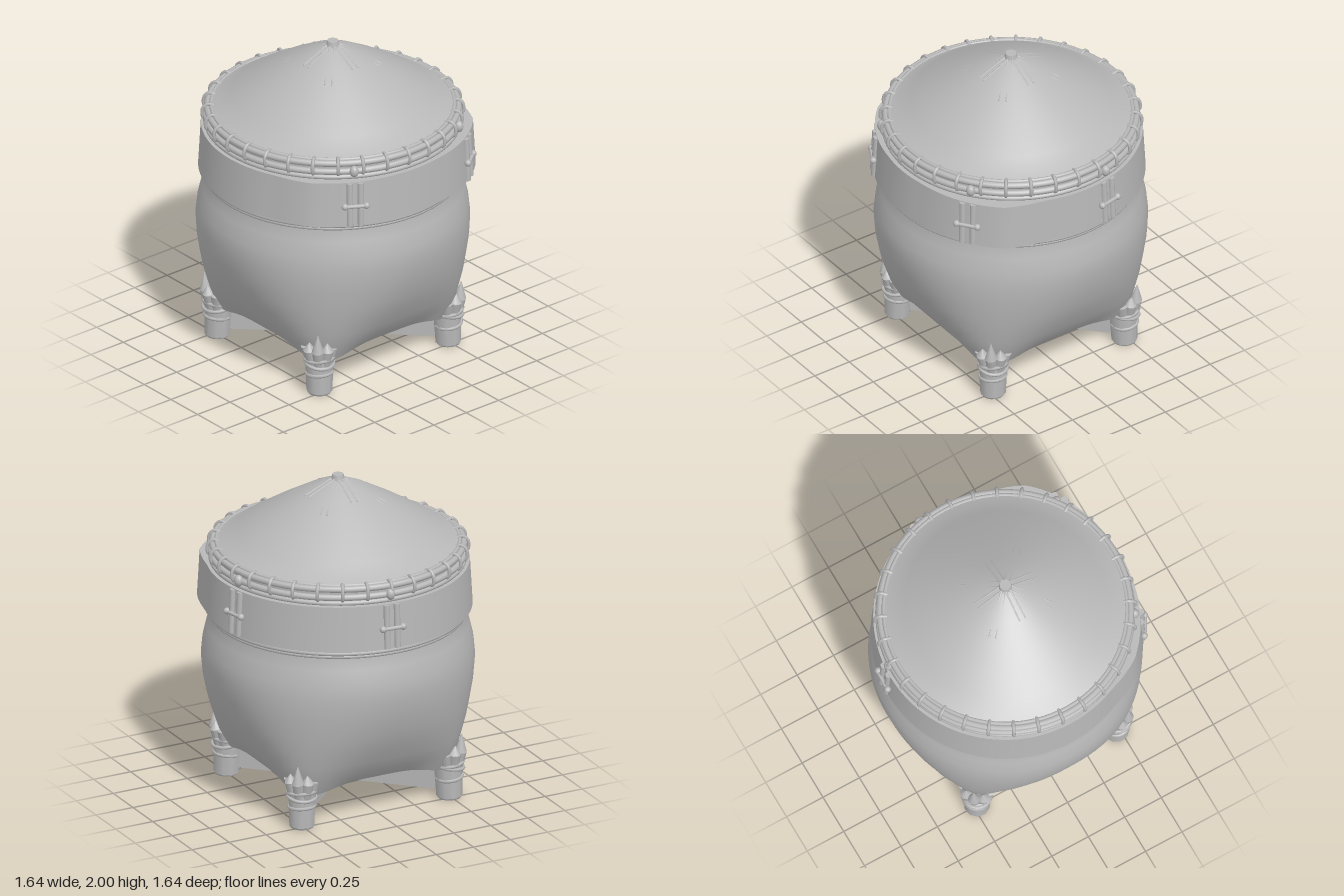
import * as THREE from 'three';
import { toCreasedNormals } from 'three/addons/utils/BufferGeometryUtils.js';

const grey = new THREE.MeshStandardMaterial({ color: 0xb8b8b8 });
grey.name = 'plain grey';

function add(parent, name, geometry, x = 0, y = 0, z = 0) {
  const mesh = new THREE.Mesh(geometry, grey);
  mesh.name = name;
  mesh.position.set(x, y, z);
  parent.add(mesh);
  return mesh;
}

// Closed rings swept around y; point(row, angle) gives [radius, height]
function loft(rows, point, sides = 96) {
  const pos = [], index = [];
  for (let i = 0; i < rows; i++) {
    for (let j = 0; j < sides; j++) {
      const t = (j / sides) * Math.PI * 2;
      const [r, y] = point(i, t);
      pos.push(r * Math.cos(t), y, r * Math.sin(t));
      if (i === rows - 1) continue;
      const k = (j + 1) % sides, a = i * sides;
      const b = a + sides;
      index.push(a + j, b + j, a + k, b + j, b + k, a + k);
    }
  }
  const g = new THREE.BufferGeometry();
  g.setAttribute('position', new THREE.Float32BufferAttribute(pos, 3));
  g.setIndex(index);
  g.computeVertexNormals();
  return g;
}

// Rod between two points
function rod(parent, name, from, to, r0, r1 = r0) {
  const a = new THREE.Vector3(...from), b = new THREE.Vector3(...to);
  const mesh = add(parent, name, new THREE.CylinderGeometry(r1, r0, a.distanceTo(b), 10));
  mesh.position.copy(a).lerp(b, 0.5);
  mesh.quaternion.setFromUnitVectors(new THREE.Vector3(0, 1, 0), b.sub(a).normalize());
  return mesh;
}

function hoop(parent, name, radius, tube, y) {
  add(parent, name, new THREE.TorusGeometry(radius, tube, 8, 96), 0, y, 0).rotation.x = Math.PI / 2;
}

// Group turned so that its local +x points outward at an angle measured from x toward z
function spoke(parent, name, angle) {
  const g = new THREE.Group();
  g.name = name;
  g.rotation.y = -angle;
  parent.add(g);
  return g;
}

const superRadius = (a, n, t) =>
  a / Math.pow(Math.abs(Math.cos(t)) ** n + Math.abs(Math.sin(t)) ** n, 1 / n);
const cornerDrop = (t) => Math.abs(Math.sin(2 * t)) ** 6;

export function createModel() {
  const model = new THREE.Group();
  model.name = 'lidded basket';

  // Body: rounded square at the bottom, circle at the top [height, half width, squareness]
  const body = [
    [0.25, 0.535, 6], [0.32, 0.6, 4.5], [0.4, 0.65, 3.5], [0.5, 0.705, 2.8], [0.6, 0.75, 2.4],
    [0.72, 0.787, 2.2], [0.85, 0.812, 2.05], [0.95, 0.808, 2], [1.05, 0.785, 2], [1.15, 0.755, 2], [1.5, 0.745, 2],
  ];
  const bodyPoint = (i, t) => {
    const [y, a, n] = body[i];
    const drop = i === 0 ? 0.06 : i === 1 ? 0.02 : 0;
    return [superRadius(a, n, t), y - drop * cornerDrop(t)];
  };
  add(model, 'body', loft(body.length, bodyPoint));
  add(model, 'underside', loft(3, (i, t) => {
    const [r, y] = bodyPoint(0, t);
    return [[0, 0.8 * r, r][i], i === 2 ? y : 0.26];
  }));

  // Strap around the shoulder, standing away from the body near two of the clasps
  const bulge = [[-70, 0], [-52, 0.05], [-37, 0.035], [-12, 0.004], [12, 0.004], [30, 0.02], [49, 0.032], [66, 0]];
  const strapOffset = (t) => {
    const d = ((t * 180 / Math.PI + 180) % 360) - 180;
    for (let i = 0; i < bulge.length - 1; i++) {
      const [d0, v0] = bulge[i], [d1, v1] = bulge[i + 1];
      if (d >= d0 && d <= d1) return v0 + (v1 - v0) * (d - d0) / (d1 - d0);
    }
    return 0;
  };
  const strap = [[0.74, 1.175], [0.803, 1.175], [0.787, 1.46], [0.74, 1.46]];
  add(model, 'strap', toCreasedNormals(
    loft(4, (i, t) => [strap[i][0] + (i === 1 || i === 2 ? strapOffset(t) : 0), strap[i][1]]), 0.6));
  hoop(model, 'lowerHoop', 0.767, 0.016, 1.155);
  hoop(model, 'lowerHoop', 0.76, 0.014, 1.133);
  hoop(model, 'upperHoop', 0.758, 0.015, 1.476);

  // Lid
  const lid = [[0.74, 1.5], [0.75, 1.5], [0.75, 1.57], [0.725, 1.575], [0.6, 1.66], [0.4, 1.785], [0.2, 1.9], [0.06, 1.965], [0, 1.98]];
  add(model, 'lid', toCreasedNormals(loft(lid.length, (i) => lid[i]), 0.5));
  hoop(model, 'lidHoop', 0.755, 0.02, 1.51);
  hoop(model, 'lidHoop', 0.748, 0.02, 1.56);
  hoop(model, 'lidHoop', 0.725, 0.012, 1.575);
  add(model, 'lidKnob', new THREE.CylinderGeometry(0.034, 0.04, 0.03, 16), 0, 1.985, 0);

  // Lashings around the lid rim
  for (let i = 0; i < 32; i++) {
    const s = spoke(model, 'rimLashing', (i + 0.3) * Math.PI / 16);
    const path = new THREE.CatmullRomCurve3([[0.71, 1.578], [0.745, 1.587], [0.775, 1.562], [0.778, 1.51], [0.755, 1.488]]
      .map(([x, y]) => new THREE.Vector3(x, y, 0)));
    add(s, 'lashing', new THREE.TubeGeometry(path, 10, 0.011, 6));
  }

  // Pleats radiating from the lid's tip, in pairs on the axes and singly on the diagonals
  for (let i = 0; i < 8; i++) {
    const s = spoke(model, 'lidPleat', i * Math.PI / 4);
    const end = i % 2 ? 0.29 : 0.21;
    const slopeY = (r) => r < 0.2 ? 1.965 - (r - 0.06) * 0.464 : 1.9 - (r - 0.2) * 0.575;
    for (const z of [-0.02, 0.02]) rod(s, 'pleat', [0.03, 1.973, z * 0.7], [end, slopeY(end), z], 0.007, 0.004).scale.y = -1 * -1;
  }

  // Clasps: two upright bars, a toggle pin and a knot on the lid rim
  for (const deg of [30, -37, -102, 184]) {
    const t = deg * Math.PI / 180;
    const s = spoke(model, 'clasp', t);
    const r = 0.797 + strapOffset((t + Math.PI * 2) % (Math.PI * 2));
    for (const z of [-0.033, 0.033]) rod(s, 'claspBar', [r + 0.003, 1.18, z], [r - 0.01, 1.455, z], 0.02);
    rod(s, 'togglePin', [r + 0.015, 1.31, -0.06], [r + 0.015, 1.31, 0.06], 0.012);
    for (const z of [-0.065, 0.065]) add(s, 'toggleEnd', new THREE.SphereGeometry(0.021, 12, 8), r + 0.012, 1.31, z);
    add(s, 'rimKnot', new THREE.SphereGeometry(0.028, 12, 8), 0.772, 1.515, 0).scale.y = 1.3;
  }

  // Feet with bindings and pointed wrappings
  for (const [sx, sz] of [[1, 1], [-1, 1], [-1, -1], [1, -1]]) {
    const foot = spoke(model, 'foot', Math.atan2(sz * 0.5, sx * 0.48));
    const c = 0.69;
    rod(foot, 'footPost', [c, 0.01, 0], [c - 0.01, 0.3, 0], 0.078, 0.088);
    add(foot, 'footTip', new THREE.CylinderGeometry(0.076, 0.07, 0.012, 16), c, 0.006, 0);
    for (const [y, tilt] of [[0.225, 0.1], [0.2, -0.12], [0.13, 0.08]]) {
      const ring = add(foot, 'footBinding', new THREE.TorusGeometry(y > 0.15 ? 0.086 : 0.077, 0.011, 6, 24), c, y, 0);
      ring.rotation.set(Math.PI / 2 + tilt, tilt, 0);
    }
    // [angle around the post, tip height]
    for (const [a, top] of [[0, 0.41], [0.8, 0.35], [-0.8, 0.35], [1.6, 0.31], [-1.6, 0.31]]) {
      const x = Math.cos(a), z = Math.sin(a);
      rod(foot, 'wrapPoint', [c + 0.052 * x, 0.2, 0.055 * z], [c + 0.07 * x, 0.3, 0.075 * z], 0.03, 0.037);
      rod(foot, 'wrapTip', [c + 0.07 * x, 0.3, 0.075 * z], [c + 0.077 * x, top, 0.075 * z], 0.037, 0.002);
    }
  }

  // Crossed planks between the feet, with a post where they meet
  for (const s of [1, -1]) {
    const plank = add(model, 'crossPlank', new THREE.BoxGeometry(1.34, 0.16, 0.018), 0, 0.122, 0);
    plank.rotation.y = s * Math.atan2(0.5, 0.48);
  }
  add(model, 'crossPost', new THREE.CylinderGeometry(0.02, 0.02, 0.175, 10), 0.005, 0.125, 0);

  return model;
}
